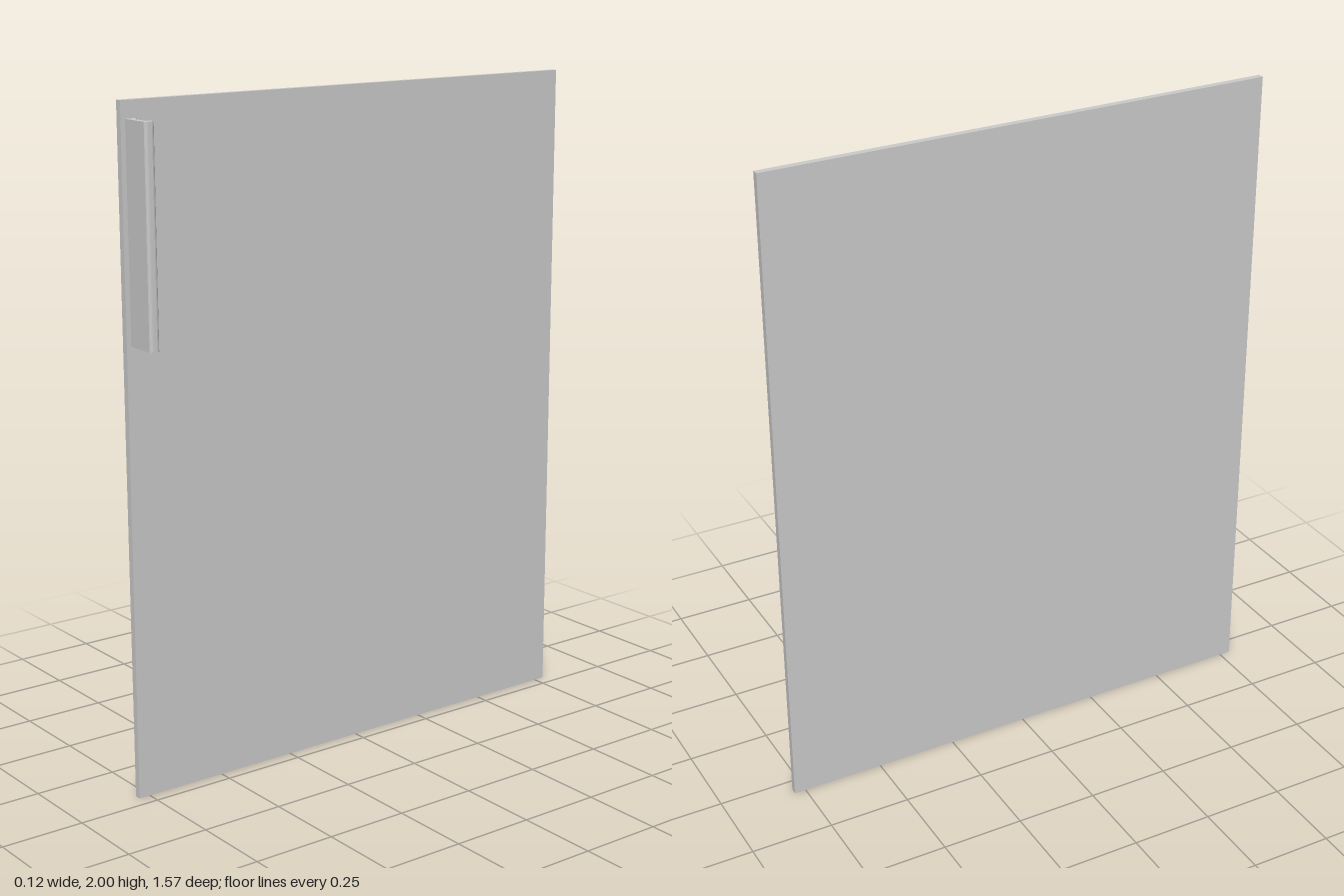
import * as THREE from 'three';

export function createModel() {
  const group = new THREE.Group();
  const material = new THREE.MeshStandardMaterial({ color: 0xcccccc, flatShading: true });

  // Thin upright door panel
  const panel = new THREE.Mesh(new THREE.BoxGeometry(0.02, 2, 1.57), material);
  panel.name = 'doorPanel';
  panel.position.set(-0.05, 1, 0);
  group.add(panel);

  // Channel-shaped pull: mounting foot, flat web and a rounded finger lip.
  // Outline is drawn as (x, -z) and extruded upwards.
  const outline = new THREE.Shape();
  outline.moveTo(-0.041, -0.771);
  outline.lineTo(0.053, -0.771);
  outline.quadraticCurveTo(0.06, -0.769, 0.06, -0.76);
  outline.lineTo(0.06, -0.75);
  outline.quadraticCurveTo(0.058, -0.741, 0.052, -0.74);
  outline.lineTo(0.044, -0.74);
  outline.quadraticCurveTo(0.038, -0.742, 0.037, -0.754);
  outline.lineTo(-0.023, -0.754);
  outline.quadraticCurveTo(-0.024, -0.742, -0.03, -0.74);
  outline.lineTo(-0.041, -0.74);
  outline.closePath();

  const pullGeometry = new THREE.ExtrudeGeometry(outline, { depth: 0.62, bevelEnabled: false, curveSegments: 4 });
  pullGeometry.rotateX(-Math.PI / 2);
  const pull = new THREE.Mesh(pullGeometry, material);
  pull.name = 'pullHandle';
  pull.position.y = 1.33;
  group.add(pull);

  return group;
}
